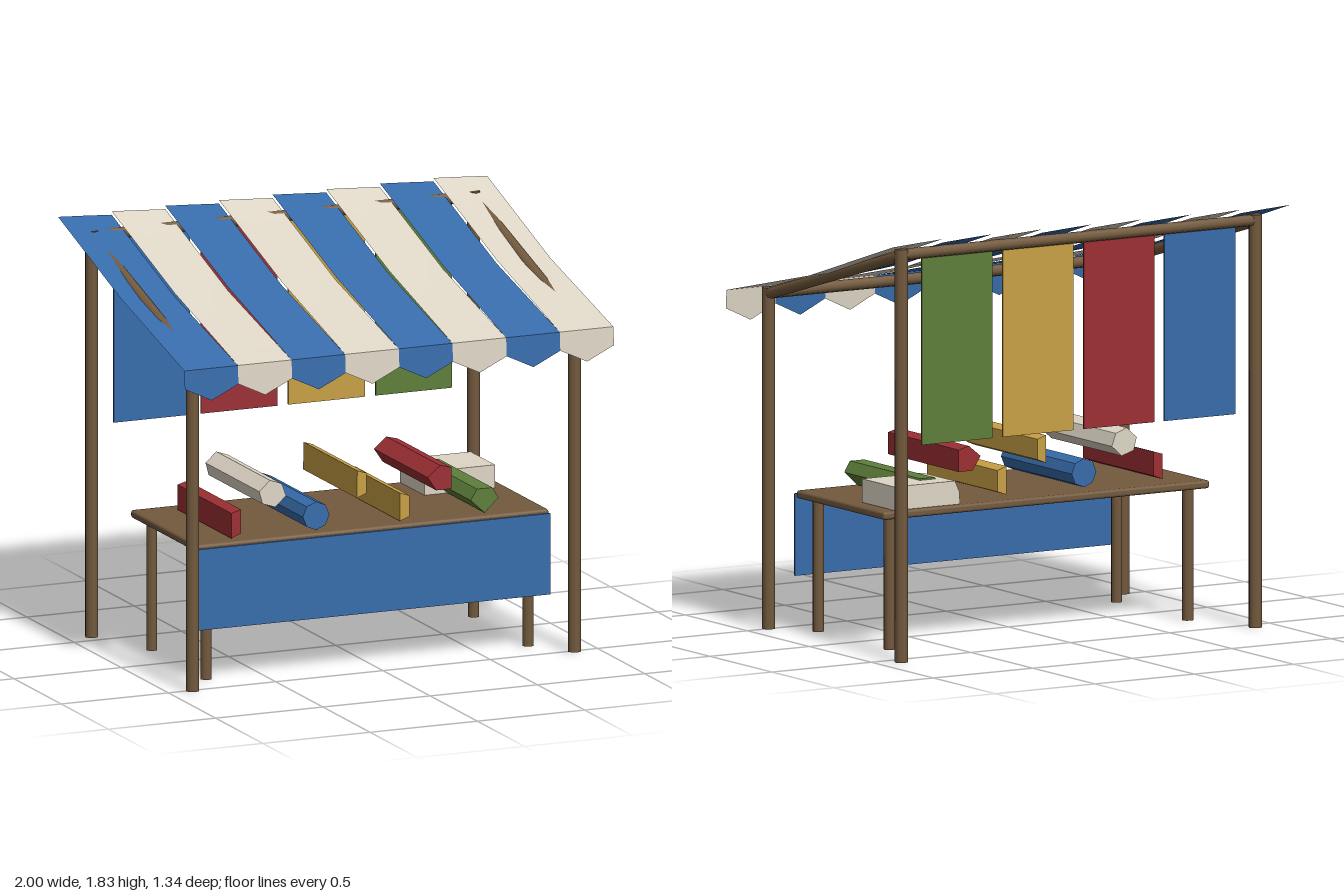
import * as THREE from 'three';
import { RoundedBoxGeometry } from 'three/addons/geometries/RoundedBoxGeometry.js';

const mat = (name, color, side = THREE.FrontSide) => {
  const m = new THREE.MeshStandardMaterial({ color, side });
  m.name = name;
  return m;
};

export function createModel() {
  const root = new THREE.Group();
  root.name = 'marketStall';
  const D = THREE.DoubleSide;
  const wood = mat('wood', 0x735a3e);
  const blue = mat('blueCloth', 0x376cab, D);
  const cream = mat('creamCloth', 0xded6c6, D);
  const red = mat('redCloth', 0x9c2f34, D);
  const yellow = mat('yellowCloth', 0xc9a145, D);
  const green = mat('greenCloth', 0x5e7f3a, D);

  const add = (name, geo, material, x = 0, y = 0, z = 0) => {
    const mesh = new THREE.Mesh(geo, material);
    mesh.name = name;
    mesh.position.set(x, y, z);
    root.add(mesh);
    return mesh;
  };

  // Round timber between two points
  const pole = (name, a, b, r) => {
    const p = new THREE.Vector3(...a), q = new THREE.Vector3(...b);
    const dir = q.clone().sub(p);
    const mesh = add(name, new THREE.CylinderGeometry(r, r, dir.length(), 8), wood);
    mesh.position.copy(p).add(q).multiplyScalar(0.5);
    mesh.quaternion.setFromUnitVectors(new THREE.Vector3(0, 1, 0), dir.normalize());
  };

  // Cloth surface from rows of points
  const sheet = (rows) => {
    const n = rows[0].length, index = [];
    for (let r = 0; r < rows.length - 1; r++) {
      for (let c = 0; c < n - 1; c++) {
        const a = r * n + c;
        index.push(a, a + n, a + 1, a + 1, a + n, a + n + 1);
      }
    }
    const geo = new THREE.BufferGeometry();
    geo.setAttribute('position', new THREE.Float32BufferAttribute(rows.flat(2), 3));
    geo.setIndex(index);
    geo.computeVertexNormals();
    return geo;
  };

  // Posts, rafters and table legs
  for (const s of [-1, 1]) {
    pole('frontPost', [s * 0.89, 0, 0.505], [s * 0.89, 1.475, 0.505], 0.029);
    pole('backPost', [s * 0.89, 0, -0.565], [s * 0.89, 1.785, -0.565], 0.029);
    pole('rafter', [s * 0.89, 1.447, 0.51], [s * 0.89, 1.757, -0.565], 0.026);
    for (const z of [0.33, -0.245]) {
      pole('tableLeg', [s * 0.75, 0, z], [s * 0.75, 0.59, z], 0.025);
    }
  }
  pole('frontBeam', [-0.89, 1.45, 0.505], [0.89, 1.45, 0.505], 0.025);
  pole('backBeam', [-0.89, 1.76, -0.565], [0.89, 1.76, -0.565], 0.025);

  // Striped awning, sagging in the middle, with a pointed valance
  for (let i = 0; i < 8; i++) {
    const x = -1 + i * 0.25, m = i % 2 ? cream : blue;
    const row = (z, ys) => ys.map((y, k) => [x + k * 0.125, y, z]);
    add('awningStripe', sheet([
      row(-0.67, [1.83, 1.823, 1.815]),
      row(0, [1.618, 1.603, 1.603]),
      row(0.668, [1.45, 1.45, 1.45]),
    ]), m);
    add('valance', sheet([
      row(0.668, [1.45, 1.45, 1.45]),
      row(0.674, [1.37, 1.31, 1.37]),
    ]), m);
  }

  // Hanging cloths at the back
  [blue, red, yellow, green].forEach((m, i) => {
    add('hangingCloth', new THREE.BoxGeometry(0.356, 0.82, 0.008), m, -0.61 + i * 0.407, 1.34, -0.565);
  });

  // Table and its front cloth
  add('tableTop', new RoundedBoxGeometry(1.64, 0.035, 0.71, 2, 0.012), wood, 0, 0.589, 0.042);
  add('tableCloth', new THREE.BoxGeometry(1.64, 0.355, 0.009), blue, 0, 0.413, 0.407);

  // Rolled and folded fabrics lying front to back
  const fabric = (name, m, outline, z = -0.21, depth = 0.57) => {
    const shape = new THREE.Shape(outline.map(([x, y]) => new THREE.Vector2(x, y)));
    add(name, new THREE.ExtrudeGeometry(shape, { depth, bevelEnabled: false }), m, 0, 0, z);
  };
  const octagon = Array.from({ length: 8 }, (_, k) => {
    const a = k * Math.PI / 4 + Math.PI / 2;
    return [-0.25 + 0.062 * Math.cos(a), 0.673 + 0.062 * Math.sin(a)];
  });
  fabric('blueRoll', blue, octagon);
  fabric('redFold', red, [[-0.645, 0.612], [-0.6, 0.63], [-0.6, 0.735], [-0.645, 0.722]]);
  fabric('creamRoll', cream, [[-0.5, 0.75], [-0.44, 0.73], [-0.39, 0.775], [-0.41, 0.83], [-0.465, 0.85], [-0.515, 0.805]]);
  fabric('upperYellowFold', yellow, [[-0.06, 0.732], [-0.015, 0.75], [-0.015, 0.838], [-0.058, 0.852]]);
  fabric('lowerYellowFold', yellow, [[0.14, 0.612], [0.185, 0.628], [0.185, 0.72], [0.14, 0.735]]);
  fabric('redRoll', red, [[0.31, 0.73], [0.38, 0.73], [0.38, 0.825], [0.328, 0.838], [0.27, 0.79]]);
  fabric('greenRoll', green, [[0.535, 0.61], [0.6, 0.67], [0.572, 0.717], [0.5, 0.717], [0.47, 0.67]]);
  fabric('creamBundle', cream, [[0.43, 0.608], [0.76, 0.608], [0.76, 0.71], [0.455, 0.71], [0.432, 0.66]], -0.3, 0.26);

  return root;
}
